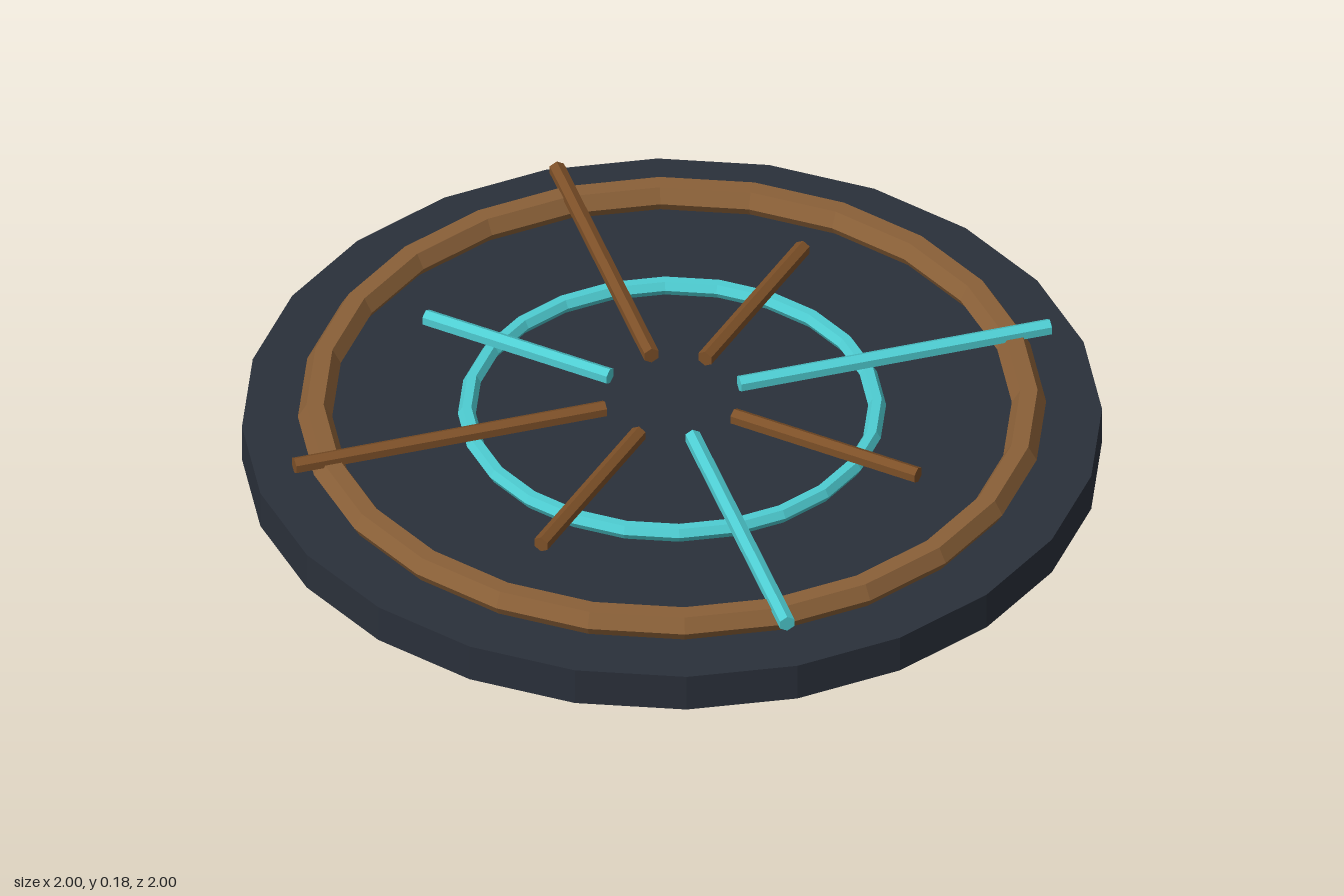
import * as THREE from 'three';

const material = (color) => new THREE.MeshStandardMaterial({ color, flatShading: true });

export function createModel() {
  const model = new THREE.Group();
  const stone = material(0x2a303a);
  const bronze = material(0x8a6038);
  const darkBronze = material(0x7d5028);
  const teal = material(0x4ecdd2);

  const add = (name, geometry, mat, parent = model) => {
    const mesh = new THREE.Mesh(geometry, mat);
    mesh.name = name;
    parent.add(mesh);
    return mesh;
  };

  // Base plate
  add('basePlate', new THREE.CylinderGeometry(1, 1, 0.095, 24), stone).position.y = 0.0475;

  // Two flat-lying rings, six-sided in section
  const ring = (name, radius, tube, mat) => {
    const geometry = new THREE.TorusGeometry(radius, tube, 6, 24).rotateX(Math.PI / 2);
    add(name, geometry, mat).position.y = 0.12;
  };
  ring('outerRing', 0.83, 0.04, bronze);
  ring('innerRing', 0.477, 0.021, teal);

  // Eight radial rods: long on the axes, short on the diagonals
  const rods = new THREE.Group();
  rods.name = 'radialRods';
  rods.position.y = 0.158;
  model.add(rods);
  const tealRods = [0, 2, 5]; // eighth turns from +z towards +x
  for (let i = 0; i < 8; i++) {
    const start = 0.163;
    const end = i % 2 ? 0.648 : 0.918;
    const geometry = new THREE.CylinderGeometry(0.02, 0.02, end - start, 6)
      .rotateX(Math.PI / 2)
      .translate(0, 0, (start + end) / 2);
    const rod = add(i % 2 ? 'shortRod' : 'longRod', geometry,
      tealRods.includes(i) ? teal : darkBronze, rods);
    rod.rotation.y = (i * Math.PI) / 4;
  }

  return model;
}
